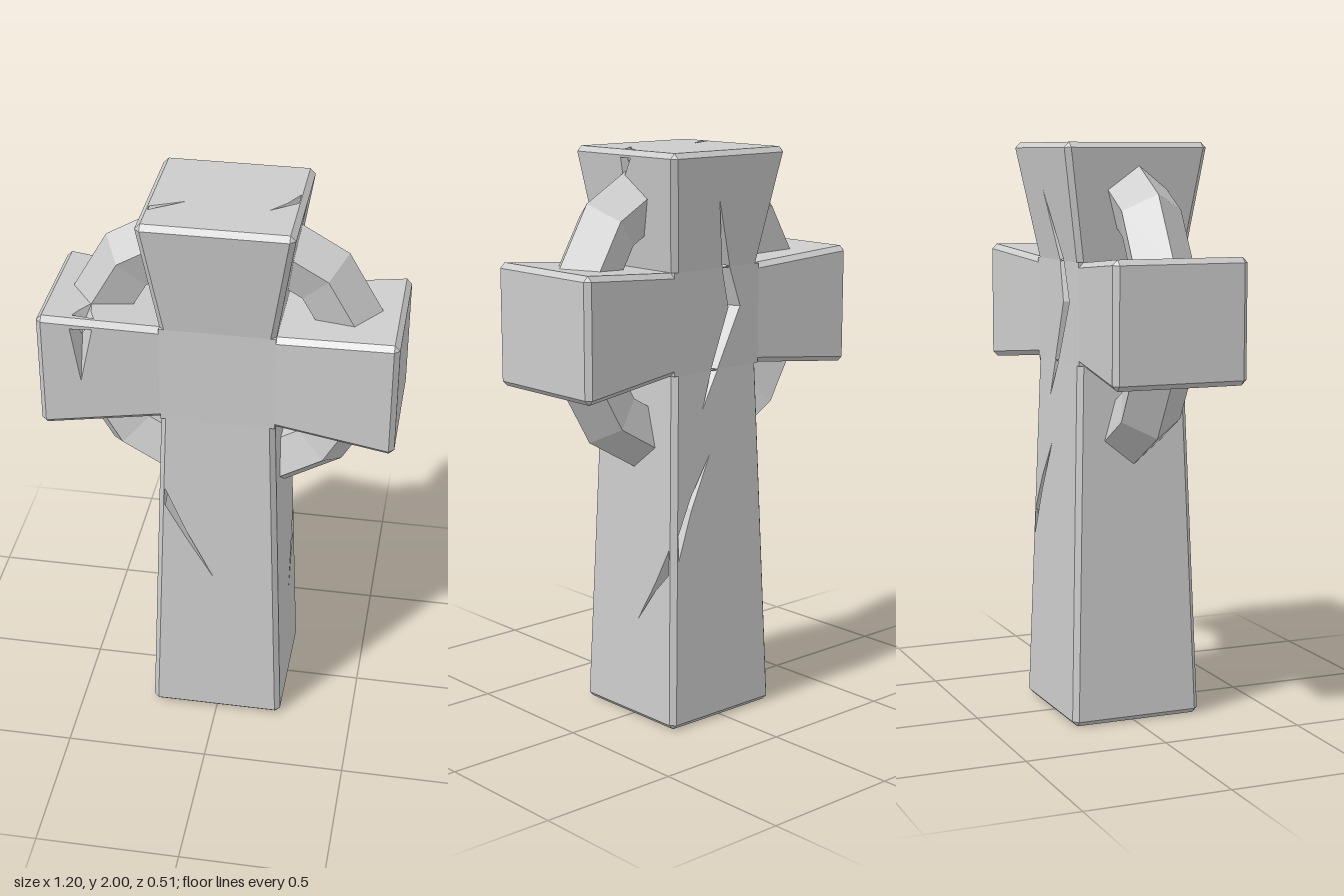
import * as THREE from 'three';

const V = (x, y, z) => new THREE.Vector3(x, y, z);
const stone = new THREE.MeshStandardMaterial({ color: 0xcccccc, flatShading: true, side: THREE.DoubleSide });
const CHAMFER = 0.018;

function toMesh(name, positions) {
  const g = new THREE.BufferGeometry();
  g.setAttribute('position', new THREE.Float32BufferAttribute(positions, 3));
  g.computeVertexNormals();
  const m = new THREE.Mesh(g, stone);
  m.name = name;
  return m;
}

// Planar face with outward winding; matching cracks are cut out and lined with a V groove
function addFace(out, corners, inside, cracks = []) {
  const o = corners[0];
  const e1 = corners[1].clone().sub(o).normalize();
  const n = e1.clone().cross(corners[2].clone().sub(o)).normalize();
  const mid = corners.reduce((s, p) => s.add(p), V(0, 0, 0)).divideScalar(corners.length);
  if (n.dot(mid.sub(inside)) < 0) n.negate();
  const e2 = n.clone().cross(e1);
  const flat = (p) => {
    const d = p.clone().sub(o);
    return new THREE.Vector2(d.dot(e1), d.dot(e2));
  };
  const lift = (q) => o.clone().addScaledVector(e1, q.x).addScaledVector(e2, q.y);
  const tri = (a, b, c) => {
    const facing = b.clone().sub(a).cross(c.clone().sub(a)).dot(n);
    for (const p of facing < 0 ? [a, c, b] : [a, b, c]) out.push(p.x, p.y, p.z);
  };

  const holes = [];
  for (const crack of cracks) {
    if (V(...crack.normal).dot(n) < 0.9) continue;
    const left = [], right = [], spine = [], outline = [], back = [];
    for (const [x, y, z, w] of crack.line) {
      const p = V(x, y, z), half = V(...crack.side).multiplyScalar(w / 2);
      const a = flat(p.clone().add(half)), b = flat(p.clone().sub(half));
      outline.push(a);
      if (w > 0) back.unshift(b);
      left.push(lift(a));
      right.push(lift(b));
      spine.push(lift(flat(p)).addScaledVector(n, -w * 0.9));
    }
    holes.push([...outline, ...back]);
    for (let i = 0; i + 1 < spine.length; i++) {
      for (const rim of [left, right]) {
        tri(rim[i], rim[i + 1], spine[i + 1]);
        tri(rim[i], spine[i + 1], spine[i]);
      }
    }
  }
  const contour = corners.map(flat);
  const all = [...contour, ...holes.flat()].map(lift);
  for (const [a, b, c] of THREE.ShapeUtils.triangulateShape(contour, holes)) tri(all[a], all[b], all[c]);
}

// Flared, chamfered limb from an open root to a capped tip; s and t span its cross-section
function limb(name, root, tip, s, t, rootHalf, tipHalf, cracks) {
  const out = [], c = CHAMFER;
  const inside = root.clone().lerp(tip, 0.5);
  const dir = tip.clone().sub(root).normalize();
  const shoulder = tip.clone().addScaledVector(dir, -c);
  const at = (o, a, b) => o.clone().addScaledVector(s, a).addScaledVector(t, b);
  const [ra, rb] = rootHalf, [ta, tb] = tipHalf;
  const add = (...corners) => addFace(out, corners, inside, cracks);

  for (const k of [-1, 1]) {
    // broad sides and their end bevels
    add(at(root, k * ra, c - rb), at(root, k * ra, rb - c), at(shoulder, k * ta, tb - c), at(shoulder, k * ta, c - tb));
    add(at(root, c - ra, k * rb), at(root, ra - c, k * rb), at(shoulder, ta - c, k * tb), at(shoulder, c - ta, k * tb));
    add(at(shoulder, k * ta, c - tb), at(shoulder, k * ta, tb - c), at(tip, k * (ta - c), tb - c), at(tip, k * (ta - c), c - tb));
    add(at(shoulder, c - ta, k * tb), at(shoulder, ta - c, k * tb), at(tip, ta - c, k * (tb - c)), at(tip, c - ta, k * (tb - c)));
    // long chamfers and corner facets
    for (const m of [-1, 1]) {
      const p = at(shoulder, k * ta, m * (tb - c)), q = at(shoulder, k * (ta - c), m * tb);
      add(at(root, k * ra, m * (rb - c)), at(root, k * (ra - c), m * rb), q, p);
      add(p, q, at(tip, k * (ta - c), m * (tb - c)));
    }
  }
  add(at(tip, c - ta, c - tb), at(tip, ta - c, c - tb), at(tip, ta - c, tb - c), at(tip, c - ta, tb - c));
  return toMesh(name, out);
}

// Central block joining the limbs
function core(name, center, h, cracks) {
  const out = [];
  const axes = [V(h[0], 0, 0), V(0, h[1], 0), V(0, 0, h[2])];
  for (let i = 0; i < 3; i++) {
    for (const k of [-1, 1]) {
      const f = center.clone().addScaledVector(axes[i], k);
      const a = axes[(i + 1) % 3], b = axes[(i + 2) % 3];
      const corners = [[-1, -1], [1, -1], [1, 1], [-1, 1]]
        .map(([u, v]) => f.clone().addScaledVector(a, u).addScaledVector(b, v));
      addFace(out, corners, center, cracks);
    }
  }
  return toMesh(name, out);
}

export function createModel() {
  const model = new THREE.Group();
  model.name = 'stoneRingCross';
  const X = V(1, 0, 0), Y = V(0, 1, 0), Z = V(0, 0, 1);
  const front = [0, 0, 1], back = [0, 0, -1], up = [0, 1, 0], leftward = [1, 0, 0];
  const alongX = [1, 0, 0], alongY = [0, 1, 0], alongZ = [0, 0, 1];

  // Each crack line lists x, y, z and opening width
  const shaftCracks = [
    { normal: front, side: alongY, line: [[-0.183, 0.93, 0.21, 0.07], [-0.11, 0.78, 0.21, 0.03], [-0.01, 0.6, 0.22, 0]] },
    { normal: leftward, side: alongY, line: [[0.22, 0.6, -0.185, 0.09], [0.22, 0.5, -0.12, 0.03], [0.225, 0.36, -0.03, 0]] },
    { normal: back, side: alongY, line: [[0.193, 0.65, -0.21, 0.09], [0.13, 0.8, -0.21, 0.05], [0.04, 0.96, -0.2, 0]] },
    { normal: back, side: alongX, line: [[0.013, 1.248, -0.19, 0.03], [0.07, 1.12, -0.19, 0]] },
  ];
  const headCracks = [
    { normal: back, side: alongX, line: [[0.03, 1.84, -0.23, 0], [-0.04, 1.602, -0.19, 0.035]] },
    { normal: up, side: alongZ, line: [[-0.235, 2, 0.125, 0.025], [-0.12, 2, 0.06, 0]] },
    { normal: up, side: alongZ, line: [[0.235, 2, -0.015, 0.06], [0.2, 2, 0.03, 0.02], [0.15, 2, 0.08, 0]] },
    { normal: leftward, side: alongZ, line: [[0.25, 1.975, -0.015, 0.05], [0.24, 1.9, 0.01, 0]] },
  ];
  const coreCracks = [
    { normal: back, side: alongX, line: [[-0.04, 1.598, -0.19, 0.035], [-0.08, 1.46, -0.19, 0.055], [0.013, 1.252, -0.19, 0.03]] },
  ];
  const armCracks = [
    { normal: front, side: alongX, line: [[-0.45, 1.59, 0.23, 0.075], [-0.457, 1.39, 0.23, 0]] },
    { normal: up, side: alongX, line: [[-0.45, 1.61, 0.2, 0.075], [-0.45, 1.61, 0.16, 0.04], [-0.44, 1.61, 0.11, 0]] },
  ];

  model.add(
    core('crossCore', V(0, 1.425, 0.007), [0.195, 0.175, 0.198], coreCracks),
    limb('shaft', V(0, 1.25, 0.007), V(0, 0, 0.01), X, Z, [0.195, 0.198], [0.237, 0.237], shaftCracks),
    limb('head', V(0, 1.6, 0.007), V(0, 2, -0.002), X, Z, [0.195, 0.198], [0.257, 0.257], headCracks),
  );
  for (const k of [-1, 1]) {
    model.add(limb(k < 0 ? 'rightArm' : 'leftArm', V(k * 0.195, 1.425, 0.007), V(k * 0.6, 1.42, 0.008),
      Y, Z, [0.175, 0.198], [0.21, 0.238], k < 0 ? armCracks : []));
  }

  // Twelve-sided ring with a ridged five-sided section
  const ringGeometry = new THREE.TorusGeometry(0.46, 0.113, 5, 12);
  ringGeometry.rotateZ(Math.PI / 12);
  const ring = new THREE.Mesh(ringGeometry, stone);
  ring.name = 'ring';
  ring.position.set(0, 1.425, 0.007);
  model.add(ring);
  return model;
}
